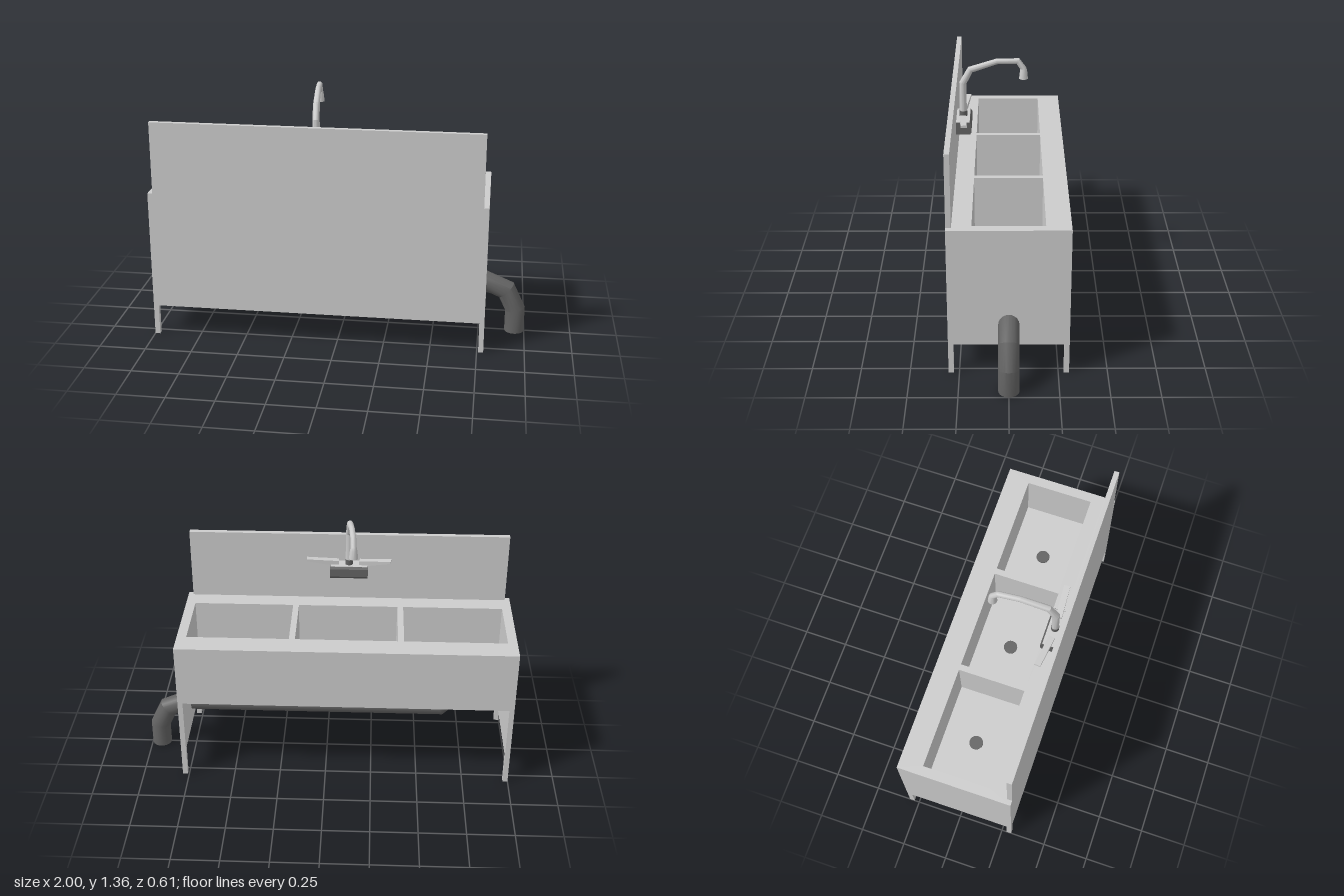
import * as THREE from 'three';
import { toCreasedNormals } from 'three/addons/utils/BufferGeometryUtils.js';

const steel = new THREE.MeshStandardMaterial({ color: 0xcccccc });
const dark = new THREE.MeshStandardMaterial({ color: 0x636363 });

function add(parent, name, geometry, material = steel) {
  const mesh = new THREE.Mesh(geometry, material);
  mesh.name = name;
  parent.add(mesh);
  return mesh;
}

// box given by its minimum and maximum on each axis
function slab(parent, name, x0, x1, y0, y1, z0, z1) {
  const mesh = add(parent, name, new THREE.BoxGeometry(x1 - x0, y1 - y0, z1 - z0));
  mesh.position.set((x0 + x1) / 2, (y0 + y1) / 2, (z0 + z1) / 2);
}

// capped round pipe with mitred bends, one radius per point
function pipe(points, radii, sides = 20) {
  const path = points.map(p => new THREE.Vector3(...p));
  const dirs = path.slice(1).map((p, i) => p.clone().sub(path[i]).normalize());
  const last = path.length - 1;
  const normal = new THREE.Vector3();
  dirs.forEach((d, i) => { if (i) normal.add(dirs[i - 1].clone().cross(d)); });
  normal.normalize();
  const pos = [], index = [];
  path.forEach((p, i) => {
    const a = dirs[Math.max(i - 1, 0)], b = dirs[Math.min(i, last - 1)];
    const tangent = a.clone().add(b).normalize();
    const side = normal.clone().cross(tangent).normalize();
    const stretch = 1 / tangent.dot(a);
    for (let j = 0; j < sides; j++) {
      const t = (j / sides) * Math.PI * 2;
      const v = p.clone().addScaledVector(normal, radii[i] * Math.cos(t))
        .addScaledVector(side, radii[i] * stretch * Math.sin(t));
      pos.push(v.x, v.y, v.z);
    }
  });
  for (let i = 0; i < last; i++) {
    for (let j = 0; j < sides; j++) {
      const k = (j + 1) % sides, a = i * sides;
      index.push(a + j, a + sides + j, a + k, a + k, a + sides + j, a + sides + k);
    }
  }
  const end = last * sides;
  for (let j = 1; j < sides - 1; j++) {
    index.push(0, j, j + 1, end, end + j + 1, end + j);
  }
  const g = new THREE.BufferGeometry();
  g.setAttribute('position', new THREE.Float32BufferAttribute(pos, 3));
  g.setIndex(index);
  return toCreasedNormals(g, 0.4);
}

function polygon(points) {
  return new THREE.Shape(points.map(p => new THREE.Vector2(...p)));
}

function rectangle(x0, x1, y0, y1) {
  return polygon([[x0, y0], [x1, y0], [x1, y1], [x0, y1]]);
}

export function createModel() {
  const model = new THREE.Group();
  model.name = 'tripleSink';
  const L = -1, R = 0.785, D = 0.305, T = 0.027;
  const drains = [-0.68, -0.108, 0.464];

  // basin block with three rectangular wells
  const block = rectangle(L, R, -D, D);
  block.holes = drains.map(x => rectangle(x - 0.27, x + 0.27, -0.18, 0.18));
  const blockGeo = new THREE.ExtrudeGeometry(block, { depth: 0.31, bevelEnabled: false });
  blockGeo.rotateX(Math.PI / 2).translate(0, 0.81, 0);
  add(model, 'basinBlock', blockGeo);
  slab(model, 'basinFloor', L, R, 0.47, 0.5, -D, D);

  // lower panels, legs and splash board
  slab(model, 'longPanel', L + T, R - T, 0.168, 0.47, D - T, D);
  for (const x of [L, R - T]) {
    slab(model, 'sidePanel', x, x + T, 0.168, 0.47, -D + T, D - T);
    slab(model, 'leg', x, x + T, 0, 0.47, -D, -D + T);
    slab(model, 'leg', x, x + T, 0, 0.47, D - T, D);
  }
  slab(model, 'splashBoard', L + T, R - T, 0.81, 1.197, D - T, D);

  // drains and waste pipes
  for (const x of drains) {
    const drain = add(model, 'drain', new THREE.CylinderGeometry(0.037, 0.037, 0.006, 20), dark);
    drain.position.set(x, 0.502, 0);
  }
  for (const x of drains.slice(1)) {
    const riser = add(model, 'drainRiser', new THREE.CylinderGeometry(0.052, 0.052, 0.18, 20), dark);
    riser.position.set(x, 0.385, 0);
  }
  const wastePath = [
    [-0.68, 0.475, 0], [-0.68, 0.345, 0], [-0.625, 0.29, 0], [0.77, 0.29, 0],
    [0.895, 0.237, 0], [0.946, 0.13, 0], [0.946, 0, 0],
  ];
  add(model, 'wastePipe', pipe(wastePath, wastePath.map(() => 0.053)), dark);

  // tap
  const tap = new THREE.Group();
  tap.name = 'tap';
  tap.position.set(-0.11, 0, 0);
  model.add(tap);

  // valve body with softened edges, profile drawn in (-z, y) and run along x
  const profile = polygon([
    [-0.278, 0.97], [-0.205, 0.97], [-0.197, 0.982], [-0.197, 1.026], [-0.205, 1.038], [-0.278, 1.038],
  ]);
  const bodyGeo = new THREE.ExtrudeGeometry(profile, { depth: 0.205, bevelEnabled: false });
  bodyGeo.rotateY(Math.PI / 2).translate(-0.1025, 0, 0);
  add(tap, 'valveBody', bodyGeo, dark);
  slab(tap, 'valveCover', -0.1, 0.1, 1.036, 1.04, 0.206, 0.278);
  const collar = add(tap, 'spoutCollar', new THREE.CylinderGeometry(0.021, 0.021, 0.03, 20), dark);
  collar.position.set(0, 1.055, 0.242);

  // spout, swung slightly to one side
  const spoutPath = [
    [0.242, 1.06], [0.242, 1.225], [0.202, 1.298], [0.06, 1.34],
    [-0.05, 1.338], [-0.078, 1.298], [-0.08, 1.285], [-0.08, 1.24],
  ].map(([z, y]) => [-0.087 * (0.242 - z), y, z]);
  add(tap, 'spout', pipe(spoutPath,
    [0.019, 0.019, 0.017, 0.015, 0.015, 0.016, 0.019, 0.024]));

  // wedge shaped lever handles, each turned by its own angle
  const wedge = polygon([[0, 1.035], [0.03, 1.035], [0.172, 1.062], [0.172, 1.074], [0, 1.062]]);
  for (const [s, turn] of [[-1, 0.13], [1, 0.06]]) {
    const geo = new THREE.ExtrudeGeometry(wedge, { depth: 0.032, bevelEnabled: false });
    geo.translate(0, 0, -0.016);
    if (s < 0) geo.rotateY(Math.PI);
    const handle = add(tap, 'handle', geo);
    handle.position.set(s * 0.056, 0, 0.243);
    handle.rotation.y = s * turn;
  }
  return model;
}
